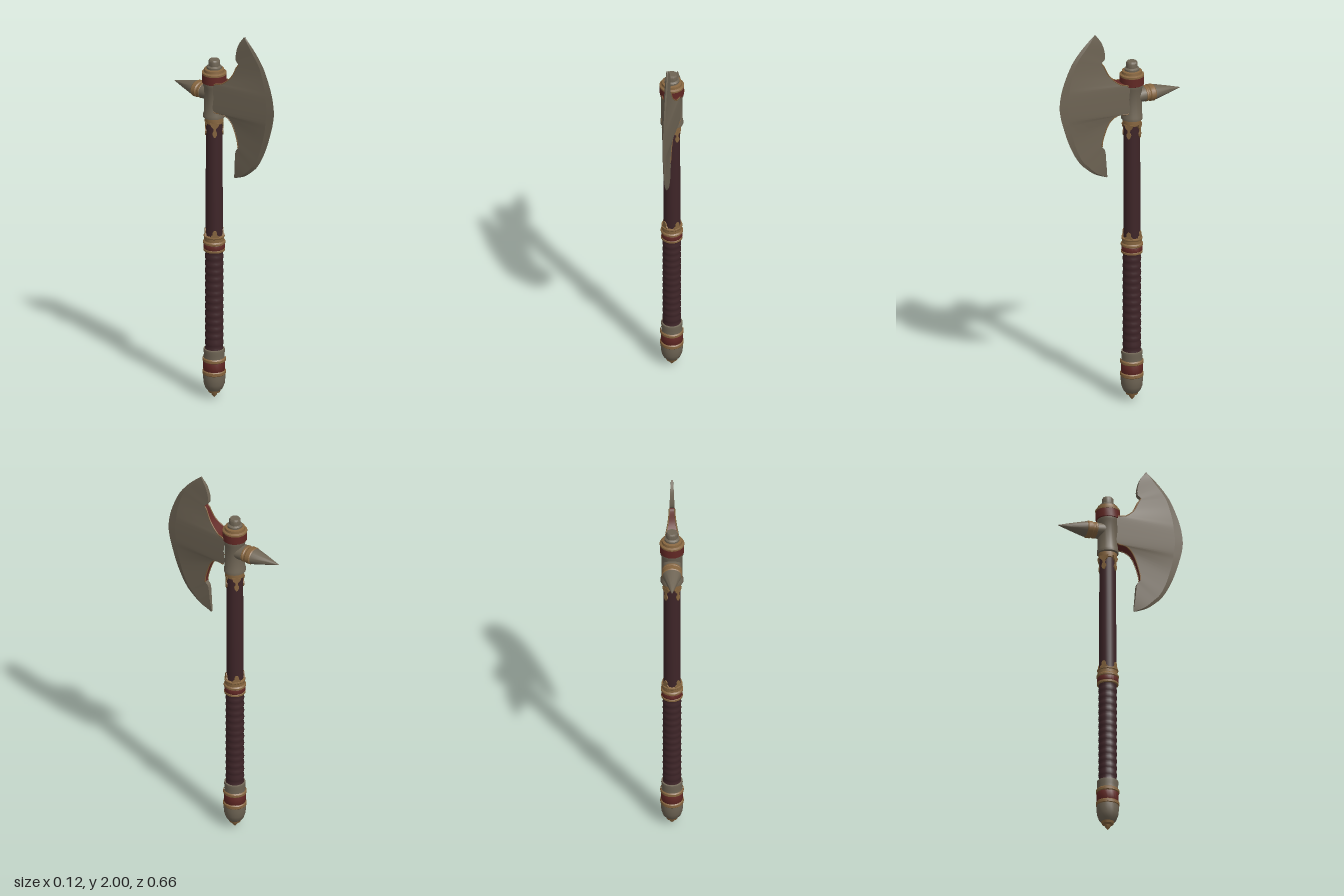
import * as THREE from 'three';
import { toCreasedNormals } from 'three/addons/utils/BufferGeometryUtils.js';

const mat = (name, color) => {
  const m = new THREE.MeshStandardMaterial({ color });
  m.name = name;
  return m;
};

// Surface through rows of points; columns run left to right, rows upward
function grid(rows) {
  const n = rows[0].length, index = [];
  for (let r = 0; r < rows.length - 1; r++) {
    for (let c = 0; c < n - 1; c++) {
      const a = r * n + c, b = a + n;
      index.push(a, b, a + 1, b, b + 1, a + 1);
    }
  }
  const g = new THREE.BufferGeometry();
  g.setAttribute('position', new THREE.Float32BufferAttribute(rows.flat(2), 3));
  g.setIndex(index);
  g.computeVertexNormals();
  return g;
}

export function createModel() {
  const steel = mat('steel', 0x6e6454);
  const gold = mat('aged gold', 0x86653f);
  const red = mat('red band', 0x622824);
  const wood = mat('dark wrapped wood', 0x3e2528);

  const model = new THREE.Group();
  const add = (parent, name, geometry, material) => {
    const mesh = new THREE.Mesh(geometry, material);
    mesh.name = name;
    parent.add(mesh);
    return mesh;
  };

  // Everything turned around the handle's axis
  const handle = new THREE.Group();
  handle.name = 'handle';
  handle.position.z = -0.066;
  model.add(handle);
  const turn = (name, material, profile, parent = handle) => add(parent, name, toCreasedNormals(
    new THREE.LatheGeometry(profile.map(([r, y]) => new THREE.Vector2(r, y)), 20), 0.6), material);

  // Pommel
  turn('pommelTip', gold, [[0, 0], [0.012, 0.014], [0.016, 0.026], [0.029, 0.032], [0.034, 0.046]]);
  turn('pommelBulb', steel, [[0.03, 0.04], [0.044, 0.055], [0.053, 0.08], [0.056, 0.11], [0.056, 0.132]]);
  turn('pommelLowerRing', gold, [[0.054, 0.128], [0.059, 0.134], [0.059, 0.148], [0.054, 0.153]]);
  turn('pommelBand', red, [[0.053, 0.15], [0.055, 0.155], [0.055, 0.198], [0.053, 0.203]]);
  turn('pommelUpperRing', gold, [[0.053, 0.198], [0.059, 0.203], [0.059, 0.215], [0.054, 0.221]]);
  turn('pommelCollar', steel, [[0.053, 0.218], [0.052, 0.24], [0.054, 0.256], [0.053, 0.266], [0.04, 0.27]]);

  // Grip with wrapped ridges, and the plain shaft above it
  const ridges = [];
  for (let i = 0; i <= 56; i++) {
    ridges.push([0.0455 + 0.0018 * Math.cos(i * Math.PI / 2), 0.262 + i * 0.00965]);
  }
  turn('grip', wood, ridges);
  turn('shaft', wood, [[0.043, 0.8], [0.043, 1.1], [0.041, 1.52]]);

  // Middle rings
  turn('middleLowerRing', gold, [[0.044, 0.794], [0.054, 0.797], [0.054, 0.807], [0.05, 0.81]]);
  turn('middleBand', red, [[0.05, 0.806], [0.053, 0.811], [0.053, 0.832], [0.05, 0.837]]);
  turn('middleUpperRing', gold, [[0.05, 0.832], [0.056, 0.837], [0.056, 0.846], [0.05, 0.852],
    [0.05, 0.868], [0.053, 0.872], [0.053, 0.878], [0.042, 0.882]]);

  // Head socket, top rings and cap
  turn('socketFringe', gold, [[0.042, 1.485], [0.046, 1.488], [0.047, 1.515], [0.045, 1.525]]);
  turn('socket', steel, [[0.042, 1.515], [0.054, 1.519], [0.054, 1.535], [0.05, 1.545],
    [0.05, 1.68], [0.054, 1.69], [0.054, 1.708]]).scale.x = 1.07;
  turn('topBand', red, [[0.052, 1.7], [0.061, 1.705], [0.061, 1.748], [0.054, 1.752]]);
  turn('topRing', gold, [[0.054, 1.745], [0.062, 1.749], [0.062, 1.758], [0.052, 1.763],
    [0.05, 1.776], [0.034, 1.78]]);
  turn('cap', steel, [[0.038, 1.776], [0.038, 1.788], [0.029, 1.794], [0.029, 1.818],
    [0.024, 1.826], [0, 1.826]]);

  // Gold pendants and tabs on the four diagonals
  const outline = pts => {
    const right = pts.map(([x, y]) => new THREE.Vector2(x, y));
    const left = pts.map(([x, y]) => new THREE.Vector2(-x, y)).reverse();
    return new THREE.ExtrudeGeometry(new THREE.Shape([...right, ...left]),
      { depth: 0.008, bevelEnabled: false });
  };
  const pendant = outline([[0.004, 1.42], [0.011, 1.433], [0.012, 1.443], [0.006, 1.454],
    [0.007, 1.467], [0.018, 1.478], [0.024, 1.495]]);
  const tab = outline([[0.024, 0.872], [0.018, 0.887], [0.011, 0.892], [0.011, 0.905], [0.005, 0.915]]);
  for (let i = 0; i < 4; i++) {
    const side = new THREE.Group();
    side.name = 'ornament' + (i + 1);
    side.rotation.y = Math.PI / 4 + i * Math.PI / 2;
    handle.add(side);
    add(side, 'pendant', pendant, gold).position.z = 0.038;
    add(side, 'tab', tab, gold).position.z = 0.039;
  }

  // Back spike, turned along -z and slightly flattened
  const spike = new THREE.Group();
  spike.name = 'backSpike';
  spike.position.y = 1.64;
  spike.rotation.x = -Math.PI / 2;
  spike.scale.z = 0.82;
  model.add(spike);
  turn('spikeRoot', steel, [[0.047, 0.07], [0.047, 0.14]], spike);
  turn('spikeCollar', gold, [[0.044, 0.128], [0.049, 0.132], [0.049, 0.14], [0.046, 0.144],
    [0.046, 0.15], [0.051, 0.156], [0.051, 0.178], [0.044, 0.186]], spike);
  turn('spikePoint', steel, [[0.047, 0.182], [0.045, 0.192], [0.024, 0.26], [0, 0.332]], spike);

  // Blade rows from lower to upper tip: inner z, y, half thickness, outer z, y
  const rows = [
    [0.07, 1.225, 0.004, 0.075, 1.222], [0.078, 1.3, 0.01, 0.14, 1.25],
    [0.087, 1.375, 0.012, 0.19, 1.29], [0.102, 1.395, 0.013, 0.215, 1.315],
    [0.095, 1.445, 0.014, 0.25, 1.37], [0.06, 1.53, 0.021, 0.285, 1.45],
    [0.02, 1.56, 0.034, 0.31, 1.53], [-0.03, 1.565, 0.046, 0.323, 1.58],
    [-0.03, 1.64, 0.047, 0.33, 1.635], [-0.03, 1.71, 0.046, 0.323, 1.7],
    [0.015, 1.725, 0.035, 0.31, 1.75], [0.065, 1.77, 0.021, 0.285, 1.815],
    [0.095, 1.83, 0.014, 0.26, 1.865], [0.105, 1.845, 0.013, 0.235, 1.9],
    [0.087, 1.865, 0.012, 0.21, 1.93], [0.1, 1.945, 0.01, 0.17, 1.97],
    [0.135, 2, 0.004, 0.138, 1.998],
  ];
  const innerCurve = new THREE.CatmullRomCurve3(rows.map(r => new THREE.Vector3(r[2], r[1], r[0])));
  const outerCurve = new THREE.CatmullRomCurve3(rows.map(r => new THREE.Vector3(0, r[4], r[3])));
  const steps = 4, count = (rows.length - 1) * steps;
  const inner = innerCurve.getPoints(count), outer = outerCurve.getPoints(count);
  const ridge = inner.map((p, i) => {
    const q = p.clone().lerp(outer[i], 0.88);
    q.x = Math.min(0.007, p.x * 0.6);
    return q;
  });
  const blade = new THREE.Group();
  blade.name = 'blade';
  model.add(blade);
  const xyz = (p, s) => [p.x * s, p.y, p.z];
  for (const s of [1, -1]) {
    const strip = (a, b) => grid(a.map((p, i) => s > 0
      ? [xyz(p, s), xyz(b[i], s)] : [xyz(b[i], s), xyz(p, s)]));
    const label = s > 0 ? 'left' : 'right';
    add(blade, label + 'Cheek', strip(inner, ridge), steel);
    add(blade, label + 'CuttingBevel', strip(ridge, outer), steel);
  }

  // Back faces of the blade: steel at the tips, red along the hollow curves
  const back = (from, to) => grid(inner.slice(from * steps, to * steps + 1)
    .map(p => [xyz(p, -1), xyz(p, 1)]));
  add(blade, 'lowerTipBack', back(0, 3), steel);
  add(blade, 'upperTipBack', back(13, 16), steel);
  for (const [from, to] of [[3, 7], [9, 13]]) {
    add(blade, 'hollowBack', back(from, to), red);
    // Gold trim along both corners of the hollow
    for (const s of [1, -1]) {
      const path = new THREE.CatmullRomCurve3(inner.slice(from * steps, to * steps + 1)
        .map(p => new THREE.Vector3(...xyz(p, s))));
      add(blade, 'hollowTrim', new THREE.TubeGeometry(path, 24, 0.003, 6), gold);
    }
  }
  return model;
}
